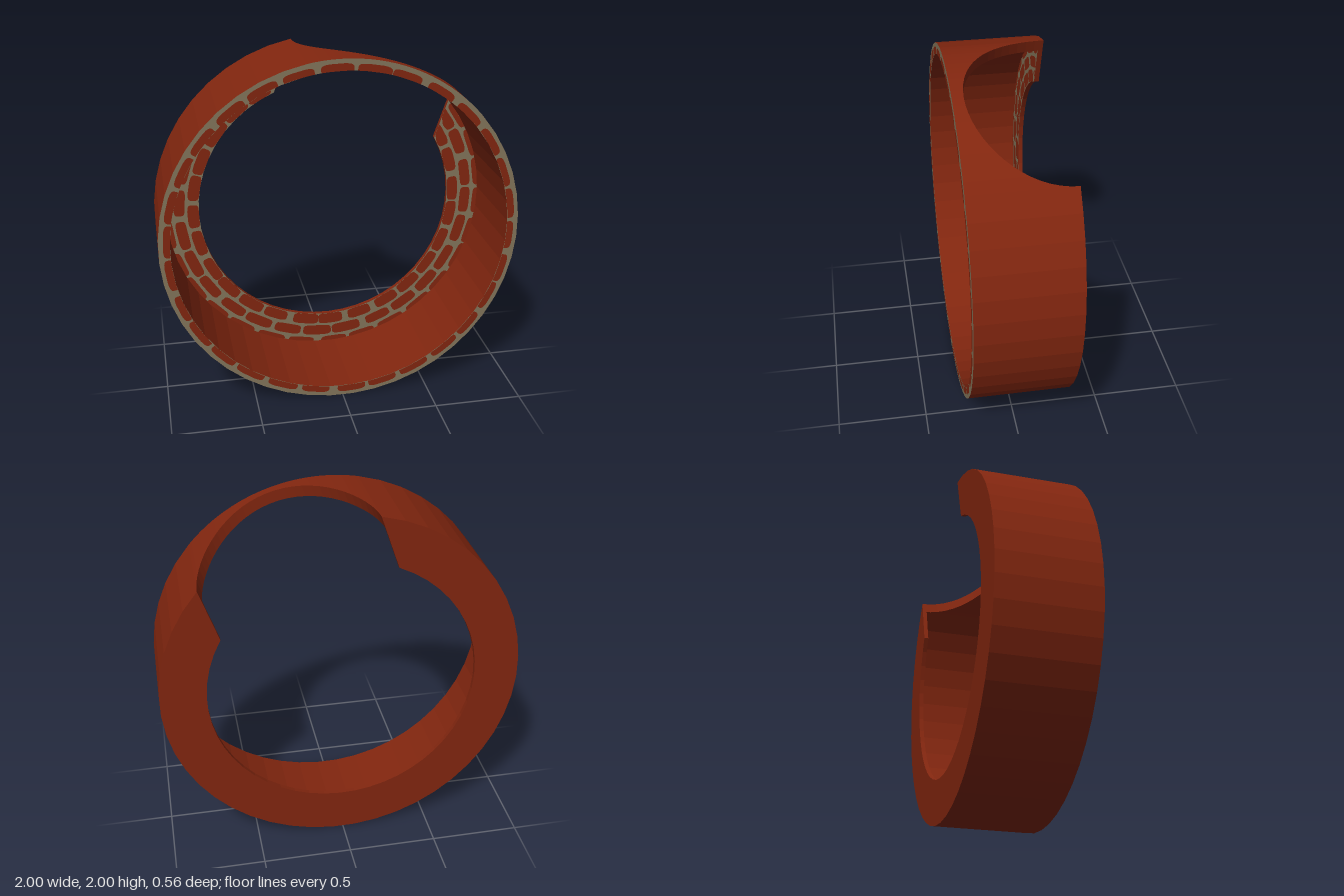
import * as THREE from 'three';
import { mergeGeometries } from 'three/addons/utils/BufferGeometryUtils.js';

const R_OUT = 1, R_IN = 0.937, R_FLANGE = 0.747;
const FRONT = 0.28, BACK = -0.28, FLANGE_FRONT = -0.255;
const NOTCH = 0.5;          // radius of the round notch cut in from the back
const TILT = 0.333;         // the notch leans toward +x

// Angles run clockwise from the middle of the notch
const polar = (r, a) => [r * Math.sin(a), r * Math.cos(a)];
const notchAngle = (r) => Math.asin(NOTCH / r);

// Closed loop of wall cross-sections: outer back, outer front, inner front, inner back
function wallColumns() {
  const columns = [];
  const add = (o, i, z) => columns.push([[...o, z], [...o, FRONT], [...i, FRONT], [...i, z]]);
  const steps = 40;
  for (let k = 0; k < steps; k++) {
    const at = (r) => {
      const a = notchAngle(r);
      return polar(r, a + (k / steps) * (2 * Math.PI - 2 * a));
    };
    add(at(R_OUT), at(R_IN), BACK);
  }
  const cuts = 32;
  for (let k = 0; k < cuts; k++) {
    const phi = (k / cuts) * Math.PI;
    const x = -NOTCH * Math.cos(phi);
    add([x, Math.sqrt(R_OUT ** 2 - x * x)], [x, Math.sqrt(R_IN ** 2 - x * x)], BACK + NOTCH * Math.sin(phi));
  }
  return columns;
}

// Skin the chosen sides of the wall loop
function wallGeometry(columns, sides) {
  const pos = [];
  columns.forEach((a, i) => {
    const b = columns[(i + 1) % columns.length];
    for (const k of sides) {
      const n = (k + 1) % 4;
      pos.push(...a[k], ...a[n], ...b[n], ...a[k], ...b[n], ...b[k]);
    }
  });
  const g = new THREE.BufferGeometry();
  g.setAttribute('position', new THREE.Float32BufferAttribute(pos, 3));
  g.computeVertexNormals();
  return g;
}

// Back flange outline, open where the notch passes through
function flangeShape() {
  const pts = [];
  const arc = (r, n, reverse) => {
    const a = notchAngle(r);
    for (let k = 0; k <= n; k++) {
      const t = reverse ? 1 - k / n : k / n;
      pts.push(new THREE.Vector2(...polar(r, a + t * (2 * Math.PI - 2 * a))));
    }
  };
  arc(R_IN, 40, false);
  arc(R_FLANGE, 40, true);
  return new THREE.Shape(pts);
}

function seeded(seed) {
  return () => (seed = (seed * 16807) % 2147483647) / 2147483647;
}

// One course of rounded bricks, trimmed to the radii lo..hi and optionally to the notch
function brickCourse({ rMid, half, count, shift, lo, hi, z, trim, seed }) {
  const rand = seeded(seed);
  const pitch = (2 * Math.PI) / count;
  const soft = (v) => Math.sign(v) * Math.abs(v) ** 0.45;
  const list = [];
  for (let b = 0; b < count; b++) {
    const mid = (b + shift + (rand() - 0.5) * 0.12) * pitch;
    const len = pitch * (0.41 + rand() * 0.06);
    const h = half * (0.92 + rand() * 0.12);
    const side = Math.sin(mid) < 0 ? -1 : 1;
    const pts = [];
    let inside = 0;
    for (let k = 0; k < 20; k++) {
      const t = ((k + 0.5) / 20) * Math.PI * 2;
      const r = THREE.MathUtils.clamp(rMid + h * soft(Math.sin(t)), lo, hi);
      let [x, y] = polar(r, mid + len * soft(Math.cos(t)));
      if (trim && y > 0 && x * side < NOTCH) {
        x = NOTCH * side;
        inside++;
      }
      pts.push(new THREE.Vector2(x, y));
    }
    if (inside < 19) list.push(new THREE.ShapeGeometry(new THREE.Shape(pts)).translate(0, 0, z));
  }
  return mergeGeometries(list);
}

export function createModel() {
  const brick = new THREE.MeshStandardMaterial({ color: 0x82260f, flatShading: true });
  brick.name = 'brick red';
  const mortar = new THREE.MeshStandardMaterial({ color: 0x82745a, flatShading: true });
  mortar.name = 'mortar grey';

  const ring = new THREE.Group();
  ring.name = 'ring';
  const add = (name, geometry, material) => {
    const mesh = new THREE.Mesh(geometry, material);
    mesh.name = name;
    ring.add(mesh);
  };

  // Outer wall with its mortar-faced front rim
  const columns = wallColumns();
  add('wall', wallGeometry(columns, [0, 2, 3]), brick);
  add('wallFrontRim', wallGeometry(columns, [1]), mortar);

  // Back flange and the mortar sheet on its front
  const shape = flangeShape();
  const flange = new THREE.ExtrudeGeometry(shape, { depth: FLANGE_FRONT - BACK, bevelEnabled: false });
  add('flange', flange.translate(0, 0, BACK), brick);
  add('flangeMortar', new THREE.ShapeGeometry(shape).translate(0, 0, FLANGE_FRONT + 0.002), mortar);

  // Brick courses; the outermost one spans the step between flange and rim
  const onFlange = { lo: R_FLANGE, hi: R_IN, z: FLANGE_FRONT + 0.004, trim: true };
  const outer = { rMid: 0.942, half: 0.035, count: 30, shift: 0.2, seed: 77 };
  add('innerBricks', brickCourse({ rMid: 0.78, half: 0.034, count: 28, shift: 0.3, seed: 11, ...onFlange }), brick);
  add('middleBricks', brickCourse({ rMid: 0.86, half: 0.033, count: 28, shift: 0.8, seed: 42, ...onFlange }), brick);
  add('outerBricks', brickCourse({ ...outer, ...onFlange }), brick);
  add('rimBricks', brickCourse({ ...outer, lo: R_IN, hi: R_OUT, z: FRONT + 0.002, trim: false }), brick);

  ring.rotation.z = -TILT;
  ring.position.y = 1;
  const model = new THREE.Group();
  model.name = 'notchedBrickRing';
  model.add(ring);
  return model;
}
